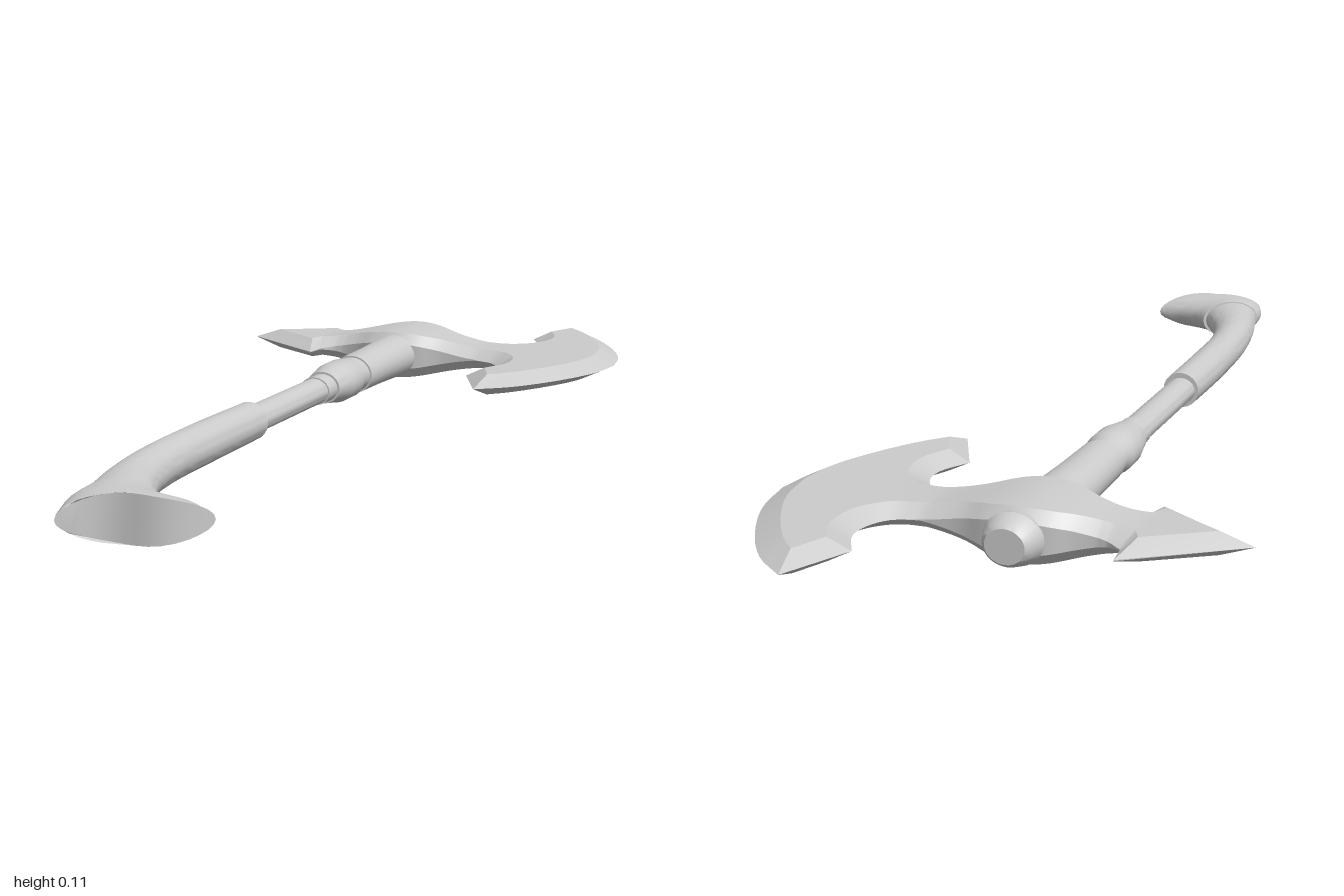
import * as THREE from 'three';
import { toCreasedNormals } from 'three/addons/utils/BufferGeometryUtils.js';

const MID = 0.054;      // height of the middle plane
const AXIS = -0.053;    // x of the straight shaft
const HEAD_Z = -0.62;   // z of the head's centre line
const material = new THREE.MeshStandardMaterial({ color: 0xcccccc });

function makeMesh(name, geometry, crease) {
  const mesh = new THREE.Mesh(toCreasedNormals(geometry, crease), material);
  mesh.name = name;
  return mesh;
}

function fromTriangles(positions) {
  const g = new THREE.BufferGeometry();
  g.setAttribute('position', new THREE.Float32BufferAttribute(positions, 3));
  return g;
}

// Smooth curve through rows of [ax, az, bx, bz], returning n + 1 rows
function smoothRows(rows, n) {
  const curve = (k) => new THREE.CatmullRomCurve3(rows.map((r) => new THREE.Vector3(r[k], r[4] || 0, r[k + 1])));
  const a = curve(0), b = curve(2), out = [];
  for (let i = 0; i <= n; i++) {
    const p = a.getPoint(i / n), q = b.getPoint(i / n);
    out.push([p.x, p.z, q.x, q.z, p.y]);
  }
  return out;
}

// Oval sections between left and right edge points: [lx, lz, rx, rz, halfHeight]
function loft(rows, wave = 0) {
  const N = 32, tris = [];
  const rings = rows.map(([lx, lz, rx, rz, hy], k) => {
    const ring = [];
    for (let i = 0; i < N; i++) {
      const a = (i / N) * Math.PI * 2, u = Math.cos(a);
      const bend = k === rows.length - 1 ? wave * Math.sin(Math.PI * u) : 0;
      ring.push([(lx + rx) / 2 + u * (rx - lx) / 2, MID + hy * Math.sin(a), (lz + rz) / 2 + u * (rz - lz) / 2 + bend]);
    }
    return ring;
  });
  const quad = (a, b, c, d) => tris.push(...a, ...b, ...c, ...a, ...c, ...d);
  for (let k = 0; k < rings.length - 1; k++) {
    for (let i = 0; i < N; i++) {
      const j = (i + 1) % N;
      quad(rings[k][i], rings[k][j], rings[k + 1][j], rings[k + 1][i]);
    }
  }
  const first = rings[0], last = rings[rings.length - 1];
  for (let i = 0; i < N / 2; i++) {
    const m = (N - i) % N, n = N - i - 1;
    quad(last[i], last[i + 1], last[n], last[m]);
    quad(first[m], first[n], first[i + 1], first[i]);
  }
  return fromTriangles(tris);
}

// Round parts along the shaft from [z, radius] pairs
function turned(name, profile) {
  const g = new THREE.LatheGeometry(profile.map(([z, r]) => new THREE.Vector2(r, z)), 28);
  g.rotateX(Math.PI / 2).scale(1, 0.87, 1).translate(AXIS, MID, 0);
  return makeMesh(name, g, 0.5);
}

// Half thickness of the head: thin at spike and blade, swelling round the shaft
function thickness(x) {
  const t = Math.max(0, 1 - Math.abs(x - AXIS) / 0.22);
  return 0.0225 + 0.0315 * t * t * (3 - 2 * t);
}

function headGeometry() {
  // Half outline: rim x, rim z, then the inner end of its bevel
  const spike = [[-0.46, 0, -0.395, 0], [-0.25, 0.137, -0.272, 0.075]];
  const neck = smoothRows([
    [-0.245, 0.09, -0.258, 0.046], [-0.21, 0.07, -0.21, 0.04], [-0.16, 0.075, -0.16, 0.05],
    [-0.11, 0.092, -0.11, 0.072], [-0.053, 0.1, -0.053, 0.082], [0, 0.095, 0, 0.074],
    [0.06, 0.077, 0.06, 0.05], [0.14, 0.071, 0.14, 0.042]], 35);
  const horn = smoothRows([
    [0.14, 0.071, 0.14, 0.042], [0.19, 0.09, 0.2, 0.053], [0.215, 0.13, 0.246, 0.1],
    [0.218, 0.178, 0.258, 0.18], [0.185, 0.245, 0.23, 0.25]], 16).slice(1);
  const edge = smoothRows([
    [0.25, 0.38, 0.26, 0.318], [0.32, 0.32, 0.298, 0.276], [0.39, 0.215, 0.352, 0.19],
    [0.44, 0.1, 0.396, 0.09], [0.457, 0, 0.41, 0]], 16);
  const half = [...spike, ...neck, ...horn, ...edge];
  const neckStart = spike.length, neckEnd = neckStart + neck.length - 1;
  const mirror = ([a, b, c, d]) => [a, -b, c, -d];
  const loop = [...half, ...half.slice(1, -1).reverse().map(mirror)];

  const tris = [];
  const inner = (r) => [r[2], thickness(r[2]), r[3]];
  const rimHeight = (r) => thickness(r[0]) - 0.0225;
  const rim = (r) => [r[0], rimHeight(r), r[1]];
  const put = (...pts) => pts.forEach(([x, y, z]) => tris.push(x, y + MID, z + HEAD_Z));
  const flip = ([x, y, z]) => [x, -y, z];
  // Upper triangle turned to face up, with its copy below
  const both = (a, b, c) => {
    const ny = (b[2] - a[2]) * (c[0] - a[0]) - (b[0] - a[0]) * (c[2] - a[2]);
    if (Math.abs(ny) < 1e-10) return;
    if (ny < 0) [b, c] = [c, b];
    put(a, b, c, flip(a), flip(c), flip(b));
  };
  const quad = (a, b, c, d) => { both(a, b, c); both(a, c, d); };

  // Bevels and the rounded rim around the neck
  loop.forEach((r, i) => {
    const s = loop[(i + 1) % loop.length];
    quad(rim(r), rim(s), inner(s), inner(r));
    if (rimHeight(r) + rimHeight(s) > 1e-5) {
      const a = rim(r), b = rim(s);
      put(flip(a), flip(b), b, flip(a), b, a);
    }
  });
  // Swelling neck
  for (let i = neckStart; i < neckEnd; i++) {
    const r = half[i], s = half[i + 1];
    quad(inner(r), inner(s), inner(mirror(s)), inner(mirror(r)));
  }
  // Flats of spike and blade
  const flat = (rows) => {
    const pts = rows.map(inner);
    const contour = pts.map((p) => new THREE.Vector2(p[0], p[2]));
    THREE.ShapeUtils.triangulateShape(contour, []).forEach(([a, b, c]) => both(pts[a], pts[b], pts[c]));
  };
  const front = half.slice(0, neckStart + 1);
  flat([...front, ...front.slice(1).reverse().map(mirror)]);
  const blade = half.slice(neckEnd);
  flat([...blade, ...blade.slice(0, -1).reverse().map(mirror)]);
  return fromTriangles(tris);
}

export function createModel() {
  const model = new THREE.Group();
  model.name = 'axe';

  model.add(makeMesh('axeHead', headGeometry(), 0.4));

  model.add(turned('topCap', [
    [-0.762, 0], [-0.762, 0.038], [-0.752, 0.047], [-0.722, 0.058], [-0.715, 0.055], [-0.68, 0.055], [-0.68, 0]]));
  model.add(turned('socket', [
    [-0.7, 0], [-0.7, 0.052], [-0.56, 0.055], [-0.5, 0.055], [-0.4, 0.051], [-0.28, 0.049], [-0.28, 0]]));
  model.add(turned('collar', [
    [-0.282, 0], [-0.282, 0.045], [-0.25, 0.044], [-0.232, 0.051], [-0.18, 0.051],
    [-0.135, 0.042], [-0.122, 0.04], [-0.122, 0]]));
  model.add(turned('collarRing', [[-0.13, 0], [-0.13, 0.035], [-0.08, 0.035], [-0.08, 0]]));
  model.add(turned('shaft', [[-0.1, 0], [-0.1, 0.032], [0.25, 0.032], [0.25, 0]]));

  // Curved grip, widening toward the pommel
  model.add(makeMesh('grip', loft(smoothRows([
    [-0.093, 0.23, -0.013, 0.23, 0.039], [-0.093, 0.45, -0.012, 0.41, 0.041],
    [-0.085, 0.64, -0.005, 0.6, 0.041], [-0.068, 0.77, 0.022, 0.73, 0.041],
    [-0.037, 0.905, 0.074, 0.835, 0.042]], 28)), 0.6));

  // Hooked pommel with a wavy end face
  model.add(makeMesh('pommel', loft(smoothRows([
    [-0.041, 0.902, 0.079, 0.83, 0.045], [-0.041, 0.94, 0.11, 0.858, 0.045],
    [-0.034, 0.965, 0.16, 0.878, 0.045], [-0.022, 0.998, 0.212, 0.882, 0.044]], 12), 0.018), 0.6));

  return model;
}
